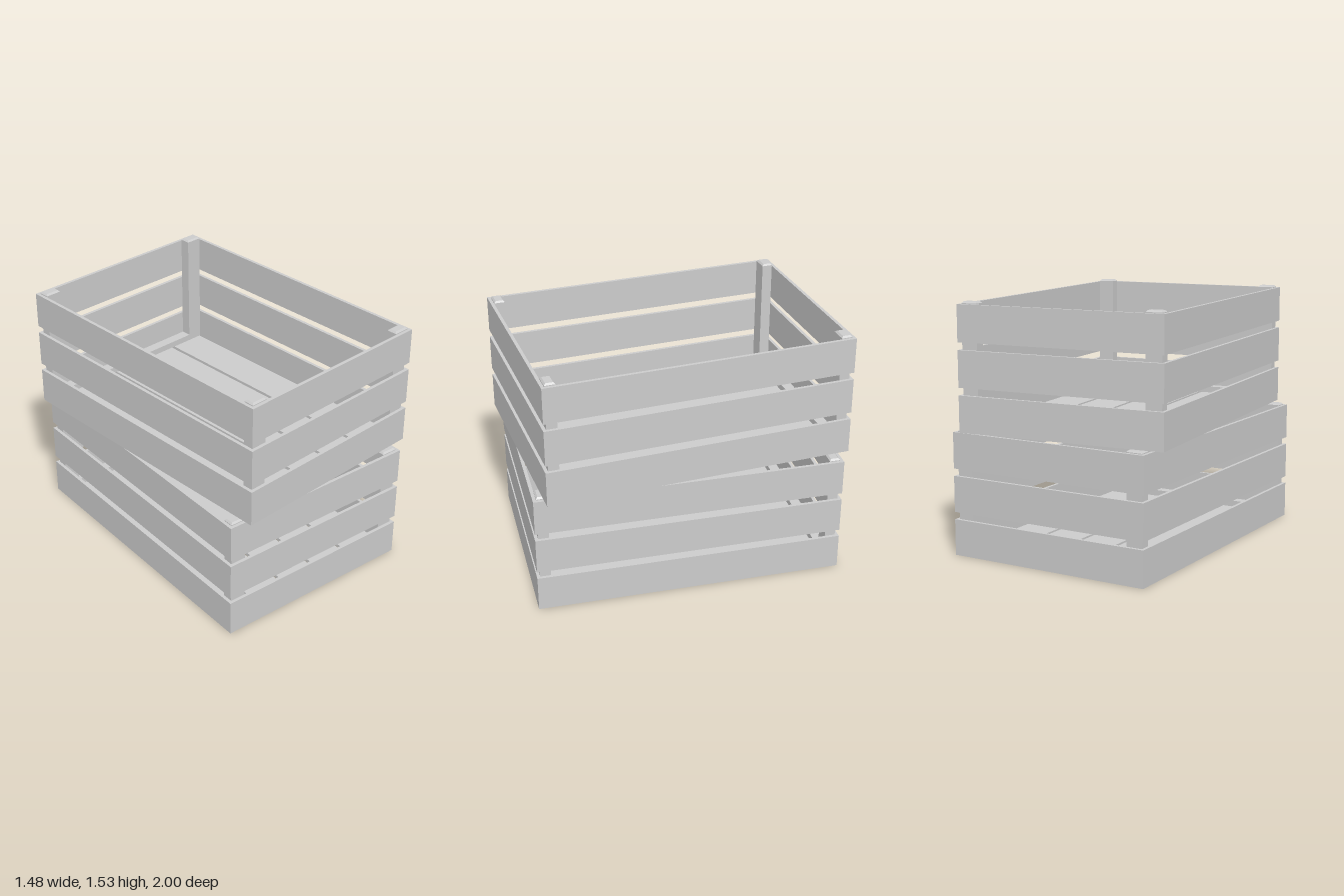
import * as THREE from 'three';

const material = new THREE.MeshStandardMaterial({ color: 0xcccccc });

const W = 1.3, D = 1.88;          // outer size of a crate
const WALL = 0.02;                // slat thickness
const SLAT_H = 0.22, SLAT_STEP = 0.265;
const POST_W = 0.1, POST_D = 0.065, POST_H = 0.765;
const BEVEL = 0.01;
const FLOOR_Y = 0.01, FLOOR_T = 0.02;

function addBox(parent, name, w, h, d, x, y, z) {
  const mesh = new THREE.Mesh(new THREE.BoxGeometry(w, h, d), material);
  mesh.name = name;
  mesh.position.set(x, y, z);
  parent.add(mesh);
}

// Upright with bevelled ends, standing on y = 0
function makePostGeometry() {
  const w = POST_W / 2 - BEVEL, d = POST_D / 2 - BEVEL;
  const shape = new THREE.Shape([
    new THREE.Vector2(-w, -d), new THREE.Vector2(w, -d),
    new THREE.Vector2(w, d), new THREE.Vector2(-w, d),
  ]);
  const height = POST_H - FLOOR_Y;
  const geometry = new THREE.ExtrudeGeometry(shape, {
    depth: height - 2 * BEVEL, bevelEnabled: true,
    bevelSize: BEVEL, bevelThickness: BEVEL, bevelSegments: 1,
  });
  return geometry.rotateX(-Math.PI / 2).translate(0, FLOOR_Y + BEVEL, 0);
}

function makeCrate(name) {
  const crate = new THREE.Group();
  crate.name = name;

  // Three rows of slats on all four sides
  for (let row = 0; row < 3; row++) {
    const y = row * SLAT_STEP + SLAT_H / 2;
    for (const s of [-1, 1]) {
      addBox(crate, 'endSlat', W, SLAT_H, WALL, 0, y, s * (D - WALL) / 2);
      addBox(crate, 'sideSlat', WALL, SLAT_H, D - 2 * WALL, s * (W - WALL) / 2, y, 0);
    }
  }

  // Corner posts
  const postGeometry = makePostGeometry();
  for (const sx of [-1, 1]) {
    for (const sz of [-1, 1]) {
      const post = new THREE.Mesh(postGeometry, material);
      post.name = 'cornerPost';
      post.position.set(sx * (W / 2 - WALL - POST_W / 2), 0, sz * (D / 2 - WALL - POST_D / 2));
      crate.add(post);
    }
  }

  // Floor boards with narrow gaps
  for (let i = -2; i <= 2; i++) {
    addBox(crate, 'floorBoard', 0.232, FLOOR_T, D - 2 * WALL, i * 0.254, FLOOR_Y + FLOOR_T / 2, 0);
  }

  // Battens holding the boards at both ends, between the posts
  const battenW = W - 2 * WALL - 2 * POST_W, battenH = 0.04;
  for (const s of [-1, 1]) {
    addBox(crate, 'floorBatten', battenW, battenH, POST_D,
      0, FLOOR_Y + FLOOR_T + battenH / 2, s * (D / 2 - WALL - POST_D / 2));
  }
  return crate;
}

export function createModel() {
  const model = new THREE.Group();
  model.name = 'stackedCrates';

  const lower = makeCrate('lowerCrate');

  // Upper crate rests on the posts, slightly turned
  const upper = makeCrate('upperCrate');
  upper.position.y = POST_H;
  upper.rotation.y = 0.098;

  model.add(lower, upper);
  return model;
}
